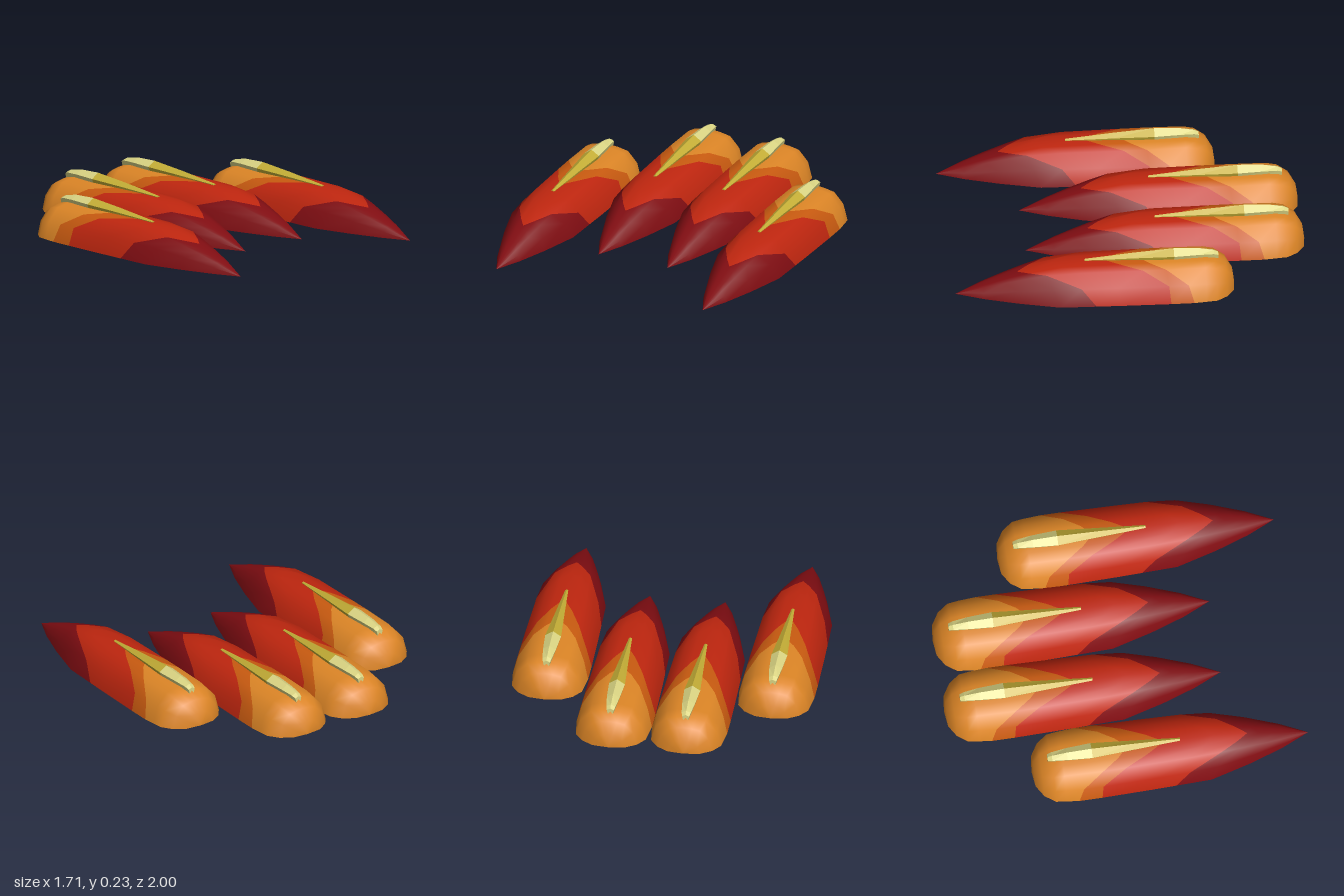
import * as THREE from 'three';

const mat = (name, color) => {
  const m = new THREE.MeshStandardMaterial({ color });
  m.name = name;
  return m;
};

// Linear lookup in a list of [position, value] pairs
function sample(list, t) {
  for (let i = 1; i < list.length; i++) {
    const [a, va] = list[i - 1], [b, vb] = list[i];
    if (t <= b) return va + (vb - va) * Math.max(0, (t - a) / (b - a));
  }
  return list[list.length - 1][1];
}

// Surface through rows of points; bands gives one material index per row gap
function loft(rows, bands) {
  const n = rows[0].length, idx = [];
  const geo = new THREE.BufferGeometry();
  geo.setAttribute('position', new THREE.Float32BufferAttribute(rows.flat(2), 3));
  for (let i = 0; i < rows.length - 1; i++) {
    if (bands) geo.addGroup(idx.length, (n - 1) * 6, bands[i]);
    for (let j = 0; j < n - 1; j++) {
      const a = i * n + j, c = a + n;
      idx.push(a, a + 1, c, a + 1, c + 1, c);
    }
  }
  geo.setIndex(idx);
  geo.computeVertexNormals();
  return geo;
}

// Blade outline: half width and height along z
const WIDTH = [[-0.57, 0], [-0.56, 0.09], [-0.52, 0.155], [-0.46, 0.198], [-0.33, 0.213],
  [-0.1, 0.213], [0.42, 0.198], [0.65, 0.135], [0.84, 0.07], [0.995, 0]];
const HEIGHT = [[-0.57, 0], [-0.56, 0.075], [-0.52, 0.14], [-0.46, 0.175], [-0.4, 0.187],
  [0.3, 0.187], [0.46, 0.178], [0.65, 0.128], [0.84, 0.062], [0.995, 0]];

// Half section of the dome, from the ground edge to the crest
const ARCH = [[1, 0], [0.87, 0.53], [0.56, 0.9], [0.28, 0.97], [0, 1]];
const SECTION = [...ARCH, ...ARCH.slice(0, 4).reverse().map(([x, y]) => [-x, y])];

// z of each row at every arch point; the slanted rows make the chevron bands
const flat = z => [z, z, z, z, z];
const ROWS = [flat(-0.57), flat(-0.56), flat(-0.52), flat(-0.46), flat(-0.4),
  [-0.33, -0.3, -0.18, -0.09, -0.03],
  [-0.2, -0.19, -0.05, 0.08, 0.18],
  [0.08, 0.1, 0.28, 0.4, 0.46],
  [0.22, 0.3, 0.49, 0.59, 0.65],
  [0.42, 0.46, 0.6, 0.68, 0.72],
  [0.65, 0.65, 0.72, 0.77, 0.8],
  flat(0.84), flat(0.995)];
const BANDS = [0, 0, 0, 0, 0, 1, 2, 2, 3, 3, 3, 3];

function bladeGeometry() {
  const rows = ROWS.map(row => SECTION.map(([sx, sy], j) => {
    const z = row[j < 5 ? j : 8 - j];
    return [sx * sample(WIDTH, z), sy * sample(HEIGHT, z), z];
  }));
  return loft(rows, BANDS);
}

function undersideGeometry() {
  return loft(ROWS.map(([z]) => {
    const w = sample(WIDTH, z);
    return [[-w, 0, z], [w, 0, z]];
  }));
}

// Ridge stations: z, half width, shoulder height, peak height
const RIDGE = [[-0.48, 0.02, 0.19, 0.2], [-0.455, 0.026, 0.2, 0.212], [-0.37, 0.036, 0.205, 0.229],
  [-0.23, 0.045, 0.205, 0.235], [0, 0.028, 0.197, 0.218], [0.27, 0.009, 0.186, 0.192]];

function ridgeGeometry(from, to) {
  const rows = RIDGE.slice(from, to).map(([z, w, s, p]) =>
    [[w * 0.7, 0.165, z], [w, s, z], [0, p, z], [-w, s, z], [-w * 0.7, 0.165, z]]);
  // Close the outer end by pinching the ring to its centre
  const cap = r => r.map(([, , z]) => [0, 0.18, z]);
  if (from === 0) rows.unshift(cap(rows[0]));
  else rows.push(cap(rows[rows.length - 1]));
  const geo = loft(rows).toNonIndexed();
  geo.computeVertexNormals();
  return geo;
}

export function createModel() {
  const model = new THREE.Group();
  model.name = 'blades';
  const bandMaterials = [mat('amber', 0xdc8526), mat('burnt orange', 0xc85a10),
    mat('red', 0xbf260f), mat('dark red', 0x800d12)];
  const maroon = mat('maroon', 0x5c080c);
  const cream = mat('cream', 0xdcd684);
  const mustard = mat('mustard', 0xc4ae36);

  const blade = bladeGeometry(), underside = undersideGeometry();
  const ridgeBack = ridgeGeometry(0, 4), ridgeFront = ridgeGeometry(3, 6);

  // Two inner blades set back, two outer blades forward
  for (const [side, x, z] of [['Left', 0.64, 0], ['Right', -0.64, 0],
    ['Left', 0.213, -0.43], ['Right', -0.213, -0.43]]) {
    const g = new THREE.Group();
    g.name = (z ? 'inner' : 'outer') + side + 'Blade';
    const add = (name, geo, material) => {
      const m = new THREE.Mesh(geo, material);
      m.name = name;
      g.add(m);
    };
    add('bladeBody', blade, bandMaterials);
    add('bladeUnderside', underside, maroon);
    add('ridgeBack', ridgeBack, cream);
    add('ridgeFront', ridgeFront, mustard);
    g.position.set(x, 0, z);
    model.add(g);
  }
  return model;
}
